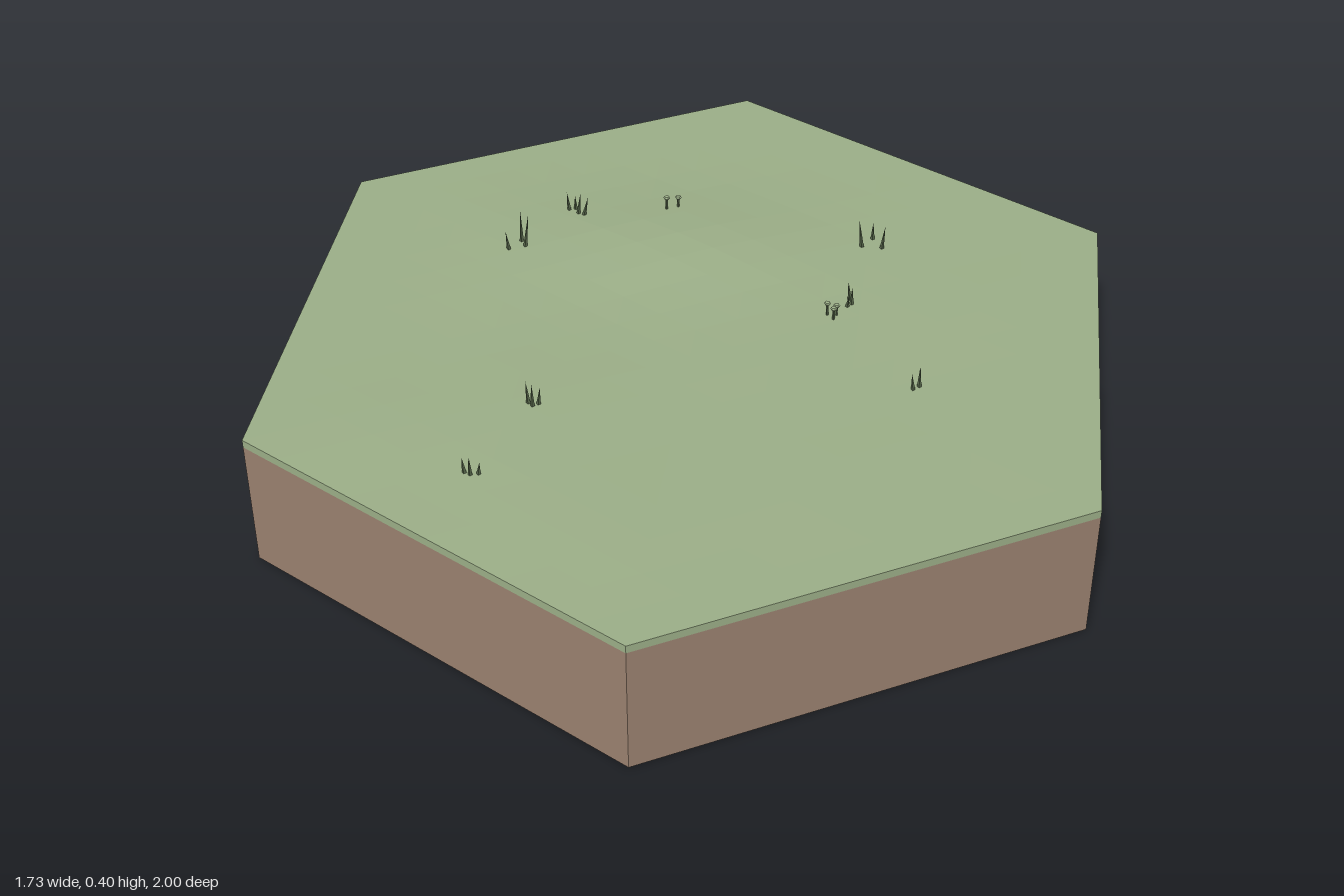
import * as THREE from 'three';

const TOP = 0.315, RIM = 0.297;

// gentle relief that fades out at the hexagon's edge
function groundHeight(x, z) {
  const a = Math.sqrt(3) / 2;
  const edge = Math.max(Math.abs(x), Math.abs(x * 0.5 + z * a), Math.abs(x * 0.5 - z * a)) / a;
  const fade = Math.min(1, (1 - edge) * 4);
  const mound = 0.019 * Math.exp(-(((x + 0.12) / 0.36) ** 2) - ((z + 0.32) / 0.2) ** 2);
  const swell = 0.005 * Math.exp(-(((x + 0.35) / 0.4) ** 2) - ((z - 0.5) / 0.35) ** 2);
  const ripple = 0.0012 * Math.sin(x * 9 + z * 4) * Math.cos(z * 8 - x * 3);
  return TOP + fade * (mound + swell + ripple);
}

// six triangular sectors, each split into small facets
function turfGeometry(n) {
  const pos = [];
  for (let k = 0; k < 6; k++) {
    const a = (k * Math.PI) / 3, b = a + Math.PI / 3;
    const put = (i, j) => {
      const x = (Math.sin(a) * i + Math.sin(b) * j) / n;
      const z = (Math.cos(a) * i + Math.cos(b) * j) / n;
      pos.push(x, groundHeight(x, z), z);
    };
    for (let i = 0; i < n; i++) {
      for (let j = 0; i + j < n; j++) {
        put(i, j); put(i + 1, j); put(i, j + 1);
        if (i + j < n - 1) { put(i + 1, j); put(i + 1, j + 1); put(i, j + 1); }
      }
    }
  }
  const g = new THREE.BufferGeometry();
  g.setAttribute('position', new THREE.Float32BufferAttribute(pos, 3));
  g.computeVertexNormals();
  return g;
}

export function createModel() {
  const group = new THREE.Group();
  const material = (name, color) => {
    const m = new THREE.MeshStandardMaterial({ color, flatShading: true });
    m.name = name;
    return m;
  };
  const soil = material('soil', 0x9b8270);
  const grass = material('grass', 0x9caf88);
  const bladeGreen = material('bladeGreen', 0x56664a);

  const add = (parent, name, geometry, mat, x = 0, y = 0, z = 0) => {
    const mesh = new THREE.Mesh(geometry, mat);
    mesh.name = name;
    mesh.position.set(x, y, z);
    parent.add(mesh);
    return mesh;
  };

  // soil block with a thin turf rim and a rolling turf surface
  add(group, 'soilBlock', new THREE.CylinderGeometry(1, 1, RIM, 6), soil, 0, RIM / 2, 0);
  add(group, 'turfRim', new THREE.CylinderGeometry(1, 1, TOP - RIM, 6, 1, true), grass, 0, (TOP + RIM) / 2, 0);
  add(group, 'turfSurface', turfGeometry(10), grass);

  // grass tufts: each blade is [x, z, height]
  const tufts = [
    [[-0.352, -0.43, 0.05], [-0.338, -0.435, 0.04], [-0.328, -0.415, 0.055], [-0.314, -0.41, 0.05]],
    [[-0.46, -0.25, 0.05], [-0.437, -0.285, 0.08], [-0.425, -0.265, 0.08]],
    [[0.333, -0.37, 0.075], [0.355, -0.405, 0.045], [0.378, -0.37, 0.06]],
    [[0.322, -0.157, 0.05], [0.327, -0.14, 0.045], [0.318, -0.13, 0.03]],
    [[0.478, 0.152, 0.04], [0.49, 0.14, 0.055]],
    [[-0.31, 0.308, 0.055], [-0.3, 0.316, 0.06], [-0.289, 0.308, 0.045]],
    [[-0.395, 0.548, 0.04], [-0.382, 0.553, 0.05], [-0.366, 0.549, 0.03]],
  ];
  tufts.forEach((blades, t) => {
    const tuft = new THREE.Group();
    tuft.name = 'grassTuft';
    blades.forEach(([x, z, h], i) => {
      const geo = new THREE.ConeGeometry(0.005, h, 4).translate(0, h / 2, 0);
      const blade = add(tuft, 'blade', geo, bladeGreen, x, groundHeight(x, z) - 0.002, z);
      blade.rotation.set(0.08 * Math.sin(t + i * 2), 0, 0.1 * (1 - i));
    });
    group.add(tuft);
  });

  // small sprouts with rounded tips
  for (const [x, z, h] of [[-0.127, -0.457, 0.03], [-0.102, -0.472, 0.025], [0.277, -0.093, 0.03], [0.297, -0.095, 0.025], [0.292, -0.078, 0.028]]) {
    const sprout = new THREE.Group();
    sprout.name = 'sprout';
    sprout.position.set(x, groundHeight(x, z), z);
    add(sprout, 'stem', new THREE.CylinderGeometry(0.003, 0.003, h, 5), bladeGreen, 0, h / 2, 0);
    add(sprout, 'tip', new THREE.SphereGeometry(0.008, 6, 4), grass, 0, h, 0).scale.y = 0.6;
    group.add(sprout);
  }
  return group;
}
